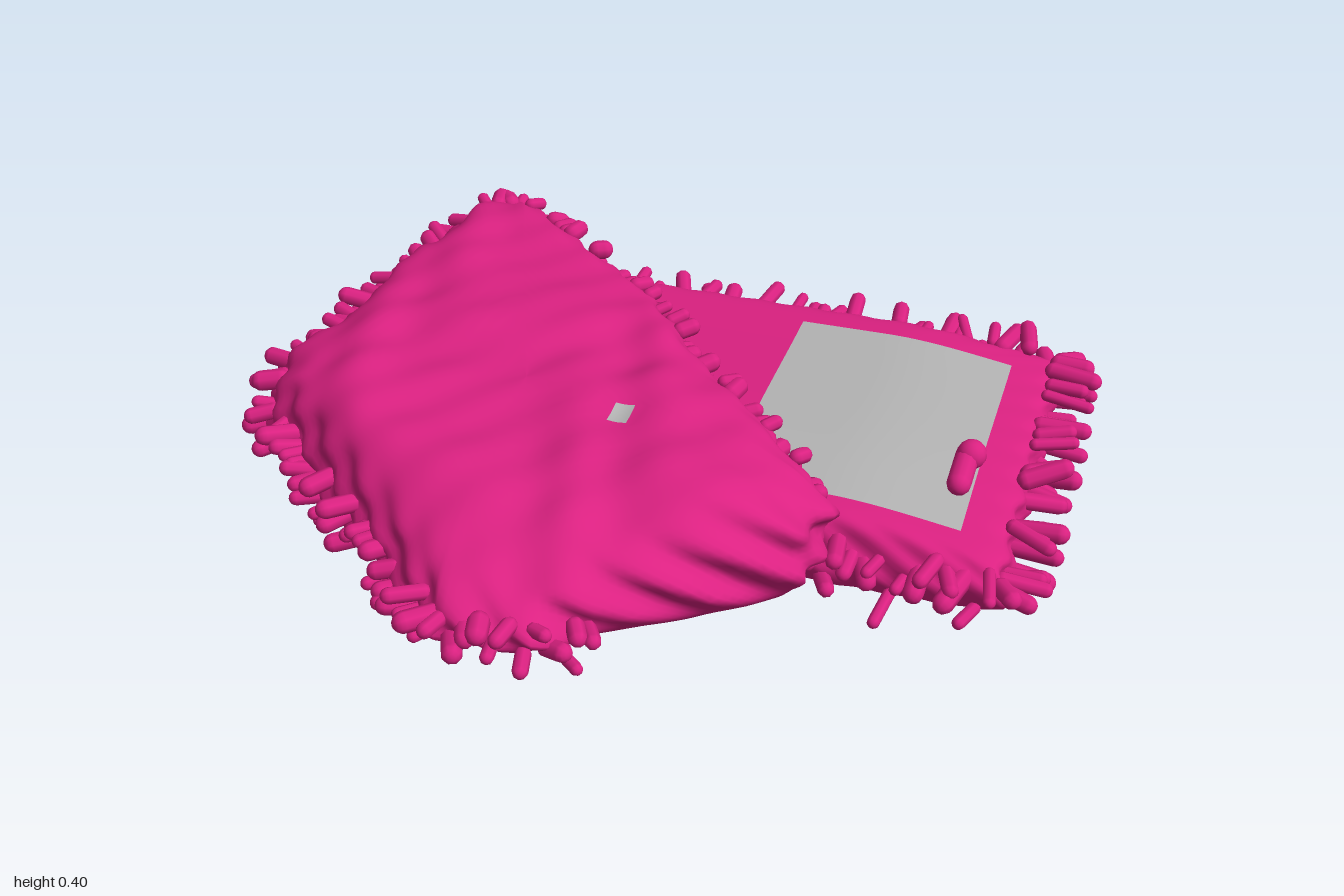
import * as THREE from 'three';
import { mergeGeometries } from 'three/addons/utils/BufferGeometryUtils.js';

const smooth = THREE.MathUtils.smoothstep, lerp = THREE.MathUtils.lerp;
const pink = new THREE.MeshStandardMaterial({ color: 0xdb2181 });
pink.name = 'pink fleece';
const gray = new THREE.MeshStandardMaterial({ color: 0xb4b4b4, side: THREE.DoubleSide });
gray.name = 'gray panel';

let seed = 7;
const rand = (a = 0, b = 1) => {
  seed = (seed * 16807) % 2147483647;
  return a + (b - a) * seed / 2147483647;
};

// Soft folds of the fleece
const lumps = (x, z) =>
  0.45 * Math.sin(7 * x + 3 * Math.sin(5 * z)) * Math.cos(8 * z - 2 * x) +
  0.35 * Math.sin(17 * x - 9 * z + 2 * Math.sin(9 * x)) +
  0.25 * Math.sin(26 * z + 13 * x) * Math.cos(21 * x);

// Outlines are [x, z], clockwise seen from above
const base = {
  outline: [[0.89, -0.77], [0.89, 0.24], [0.3, 0.22], [-0.9, 0.07], [-0.64, -0.79]],
  center: [0, -0.27], power: 24, lump: 0, rim: 0.012,
  top: (x, z) => 0.22 - 0.06 * smooth(x, 0.45, 1) - 0.045 * smooth(-z, 0, 0.8),
  mid: () => 0.105,
  bottom: (x) => 0.005 + 0.025 * x * x
};
const flap = {
  outline: [[-0.6, -0.83], [-0.4, -0.66], [-0.12, -0.43], [0.1, -0.15], [0.25, 0.01], [0.5, 0.23],
    [0.47, 0.39], [0.3, 0.54], [0.12, 0.68], [0, 0.81], [-0.2, 0.82], [-0.38, 0.63],
    [-0.6, 0.44], [-0.86, 0.2], [-0.91, 0.03], [-0.84, -0.18], [-0.78, -0.5], [-0.7, -0.77]],
  center: [-0.25, 0.1], power: 9, lump: 0.022, rim: 0.02,
  top: (x, z) => 0.385 - 0.09 * smooth(z, 0.35, 0.9) - 0.06 * smooth(x, 0.25, 0.55)
    - 0.05 * smooth(-x, 0.65, 0.95),
  mid: (x, z) => Math.max(0.2, 0.3 - 0.1 * smooth(z, 0, 0.35) - 0.09 * smooth(-x, 0.6, 0.9)),
  bottom: (x, z) => 0.23 - 0.18 * smooth(z, 0.08, 0.3) + 0.08 * smooth(z, 0.35, 0.85)
    - 0.1 * smooth(-x, 0.6, 0.9)
};

const spaced = (outline, n) => {
  const pts = outline.map(([x, z]) => new THREE.Vector2(x, z));
  pts.push(pts[0].clone());
  return new THREE.Path().setFromPoints(pts).getSpacedPoints(n).slice(0, n);
};

// Closed cushion: rings run from the top centre, over the rim, to the bottom centre
function cushion(d) {
  const n = 220, half = 30, pos = [], idx = [];
  const edge = spaced(d.outline, n), [cx, cz] = d.center;
  for (let i = 0; i <= half * 2; i++) {
    const t = i <= half ? i / half : 2 - i / half;
    const s = Math.max(0.001, Math.sin(t * Math.PI / 2));
    const h = Math.sqrt(Math.max(0, 1 - Math.pow(s, d.power)));
    for (const p of edge) {
      const x0 = cx + (p.x - cx) * s, z0 = cz + (p.y - cz) * s;
      const up = i <= half;
      const y = lerp(d.mid(x0, z0), (up ? d.top : d.bottom)(x0, z0), h);
      const lift = up ? d.lump * lumps(x0, z0) * h : 0;
      const r = 1 + d.rim * Math.pow(s, 12) * (Math.sin(47 * p.x + 60 * y) + Math.sin(53 * p.y - 45 * y));
      pos.push(cx + (x0 - cx) * r, y + lift, cz + (z0 - cz) * r);
    }
  }
  for (let i = 0; i < half * 2; i++) {
    for (let j = 0; j < n; j++) {
      const k = (j + 1) % n, a = i * n + j, b = i * n + k, c = a + n, e = b + n;
      idx.push(a, b, c, b, e, c);
    }
  }
  const g = new THREE.BufferGeometry();
  g.setAttribute('position', new THREE.Float32BufferAttribute(pos, 3));
  g.setIndex(idx);
  g.computeVertexNormals();
  return g;
}

// Rounded tufts sticking out along the rim
function tufts(d, count, spread, size) {
  const edge = spaced(d.outline, count), parts = [];
  edge.forEach((p, i) => {
    const a = edge[(i + count - 1) % count], b = edge[(i + 1) % count];
    const out = new THREE.Vector3(b.y - a.y, 0, a.x - b.x).normalize();
    const k = size(p.x, p.y);
    if (k <= 0) return;
    const len = rand(0.05, 0.11) * k, radius = rand(0.014, 0.025);
    const dir = out.clone().add(new THREE.Vector3(rand(-0.4, 0.4), rand(-0.25, 0.25), rand(-0.4, 0.4))).normalize();
    const g = new THREE.CapsuleGeometry(radius, len, 4, 8);
    g.translate(0, len * 0.35, 0);
    g.applyQuaternion(new THREE.Quaternion().setFromUnitVectors(new THREE.Vector3(0, 1, 0), dir));
    g.translate(p.x, d.mid(p.x, p.y) + rand(-spread, spread), p.y);
    parts.push(g);
  });
  return mergeGeometries(parts);
}

// Thin sheet laid on a height rule
function sheet(x0, x1, z0, z1, height) {
  const g = new THREE.PlaneGeometry(x1 - x0, z1 - z0, 16, 20);
  g.rotateX(-Math.PI / 2);
  g.translate((x0 + x1) / 2, 0, (z0 + z1) / 2);
  const p = g.attributes.position;
  for (let i = 0; i < p.count; i++) p.setY(i, height(p.getX(i), p.getZ(i)));
  g.computeVertexNormals();
  return g;
}

export function createModel() {
  const model = new THREE.Group();
  model.name = 'foldedFleeceBlanket';
  const add = (name, geometry, material) => {
    const m = new THREE.Mesh(geometry, material);
    m.name = name;
    model.add(m);
    return m;
  };

  // Lower layer with its shaggy border
  add('lowerLayer', cushion(base), pink);
  add('lowerFringe', tufts(base, 170, 0.055, (x) => (x > -0.75 ? 1 : 0.6)), pink);

  // Folded upper layer; the smooth turned edge at the front has no fringe
  add('upperFlap', cushion(flap), pink);
  add('upperFringe', tufts(flap, 150, 0.05, (x, z) => {
    if (x > 0.1 && z > 0.2) return 0;
    return z - x < -0.2 ? 0.3 : 0.65;
  }), pink);

  // Gray panel on both faces of the lower layer
  add('panelTop', sheet(0.23, 0.77, -0.65, 0.14, (x, z) => base.top(x, z) + 0.005), gray);
  add('panelBottom', sheet(0.23, 0.77, -0.65, 0.14, (x, z) => base.bottom(x, z) - 0.004), gray);

  // Small tab on the panel edge
  const tab = add('tab', new THREE.CapsuleGeometry(0.028, 0.12, 6, 12), pink);
  tab.rotation.x = Math.PI / 2;
  tab.position.set(0.74, 0.215, -0.06);
  const knob = add('tabEnd', new THREE.SphereGeometry(0.035, 14, 10), pink);
  knob.position.set(0.75, 0.225, -0.11);

  // Worn spot on the flap
  const spot = (x, z) => flap.top(x, z) + flap.lump * lumps(x, z) + 0.004;
  add('wornSpot', sheet(-0.02, 0.025, 0.15, 0.22, spot), gray);
  return model;
}
